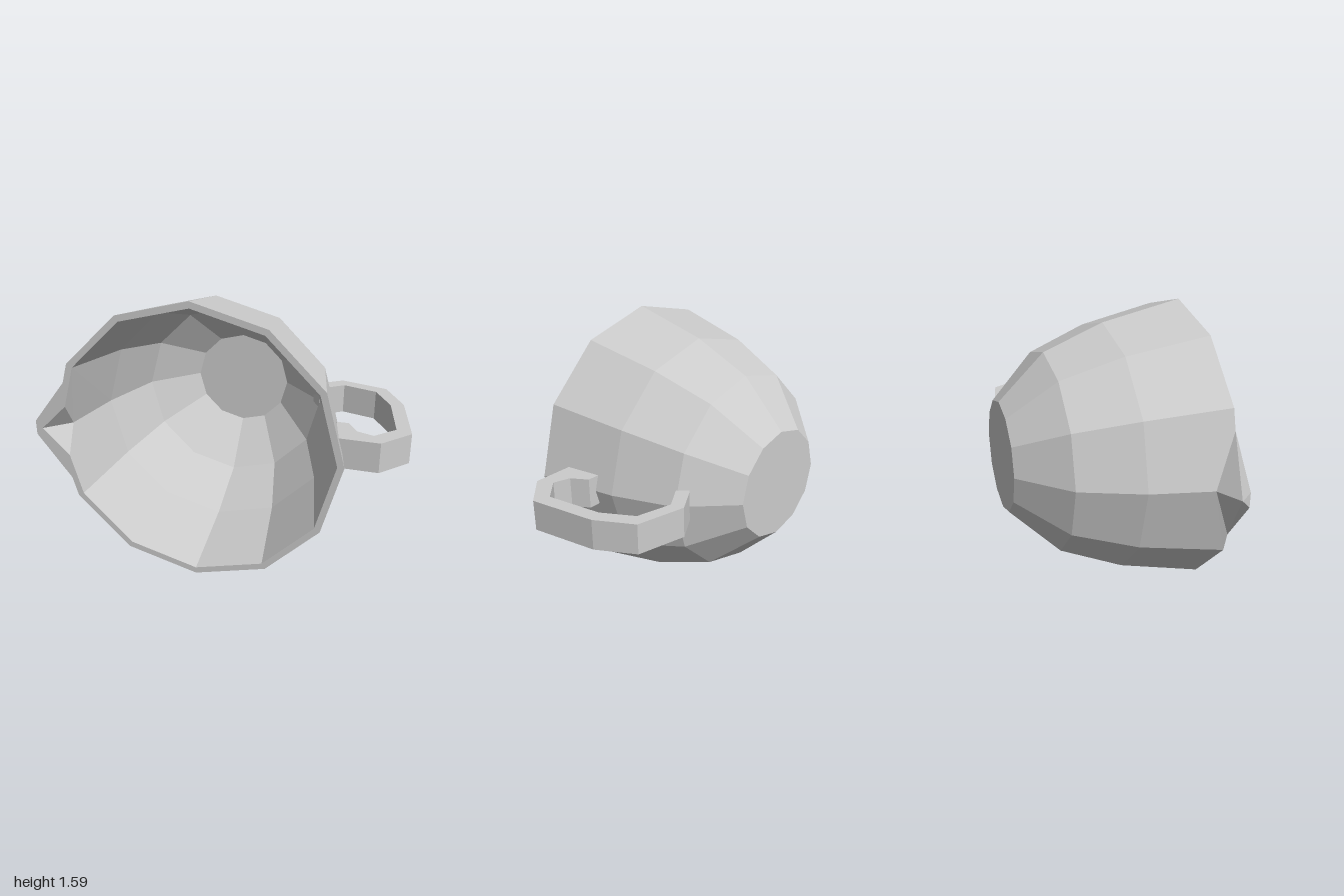
import * as THREE from 'three';

const CX = -0.095, CY = 0.793, SIDES = 12;
// [radius, z] from the rim at the front to the base at the back
const OUTER = [[0.793, 0.51], [0.695, 0.07], [0.56, -0.26], [0.31, -0.51]];
const INNER = [[0.757, 0.51], [0.66, 0.07], [0.53, -0.26], [0.284, -0.48]];

const grey = () => new THREE.MeshStandardMaterial({ color: 0xcccccc, flatShading: true });

// Collects convex faces as triangle fans; points are [x, y, z]
function faceBuilder() {
  const pos = [];
  const face = (...p) => {
    for (let i = 1; i < p.length - 1; i++) pos.push(...p[0], ...p[i], ...p[i + 1]);
  };
  // Adds a face and its reflection across the cup's horizontal mid-plane
  const mirrored = (...p) => {
    face(...p);
    face(...p.map(([x, y, z]) => [x, 2 * CY - y, z]).reverse());
  };
  const mesh = (name) => {
    const g = new THREE.BufferGeometry();
    g.setAttribute('position', new THREE.Float32BufferAttribute(pos, 3));
    g.computeVertexNormals();
    const m = new THREE.Mesh(g, grey());
    m.name = name;
    return m;
  };
  return { face, mirrored, mesh };
}

function ringPoint([r, z], k) {
  const a = (k / SIDES) * Math.PI * 2;
  return [CX + r * Math.cos(a), CY + r * Math.sin(a), z];
}

// Notch where the spout opens through the wall
const outerNotchTop = [-0.812, 1.08, 0.51], outerNotchLow = [-0.864, CY, 0.4];
const innerNotchTop = [-0.814, 0.94, 0.51], innerNotchLow = [-0.832, CY, 0.4];

function makeCup() {
  const { face, mirrored, mesh } = faceBuilder();
  for (let k = 0; k < SIDES; k++) {
    const notched = k === 5 || k === 6;
    for (let j = 0; j < 3; j++) {
      if (notched && j === 0) continue;
      const quad = (P) => [ringPoint(P[j], k), ringPoint(P[j + 1], k),
        ringPoint(P[j + 1], k + 1), ringPoint(P[j], k + 1)];
      face(...quad(OUTER));
      face(...quad(INNER).reverse());
    }
    // Rim
    if (!notched) {
      face(ringPoint(OUTER[0], k), ringPoint(OUTER[0], k + 1),
        ringPoint(INNER[0], k + 1), ringPoint(INNER[0], k));
    }
  }
  // Wall panels and rim beside the spout
  mirrored(ringPoint(OUTER[1], 5), ringPoint(OUTER[1], 6), outerNotchLow, outerNotchTop, ringPoint(OUTER[0], 5));
  mirrored(ringPoint(INNER[0], 5), innerNotchTop, innerNotchLow, ringPoint(INNER[1], 6), ringPoint(INNER[1], 5));
  mirrored(ringPoint(OUTER[0], 5), outerNotchTop, innerNotchTop, ringPoint(INNER[0], 5));
  // Inner floor and outer base
  const ring = (p) => Array.from({ length: SIDES }, (_, k) => ringPoint(p, k));
  face(...ring(INNER[3]));
  face(...ring(OUTER[3]).reverse());
  return mesh('cup');
}

function makeSpout() {
  const { face, mirrored, mesh } = faceBuilder();
  const tip = [-1, CY + 0.04, 0.51], tipMirror = [-1, CY - 0.04, 0.51];
  const tipLow = [-1, CY, 0.47], channelTip = [-0.962, CY, 0.51];
  mirrored(outerNotchTop, outerNotchLow, tipLow);       // outside
  mirrored(outerNotchTop, tipLow, tip);
  mirrored(outerNotchTop, tip, channelTip, innerNotchTop); // rim
  mirrored(innerNotchTop, channelTip, innerNotchLow);   // channel
  face(tip, tipMirror, channelTip);
  face(tip, tipLow, tipMirror);
  return mesh('spout');
}

function makeHandle() {
  // Outline in [x, z]; both ends sink slightly into the cup wall
  const outline = [
    [0.39, -0.295], [0.41, -0.315], [0.545, -0.4], [0.808, -0.34], [0.925, -0.145], [0.997, 0.21],
    [0.855, 0.36], [0.635, 0.36], [0.6, 0.17], [0.665, 0.17], [0.72, 0.255], [0.81, 0.283],
    [0.915, 0.18], [0.855, -0.12], [0.755, -0.283], [0.565, -0.33], [0.455, -0.258], [0.435, -0.25],
  ];
  const shape = new THREE.Shape(outline.map(([x, z]) => new THREE.Vector2(x, -z)));
  const g = new THREE.ExtrudeGeometry(shape, { depth: 0.17, bevelEnabled: false });
  g.rotateX(-Math.PI / 2).translate(0, CY - 0.083, 0);
  const m = new THREE.Mesh(g, grey());
  m.name = 'handle';
  return m;
}

export function createModel() {
  const group = new THREE.Group();
  group.name = 'spoutedCup';
  group.add(makeCup(), makeSpout(), makeHandle());
  return group;
}
